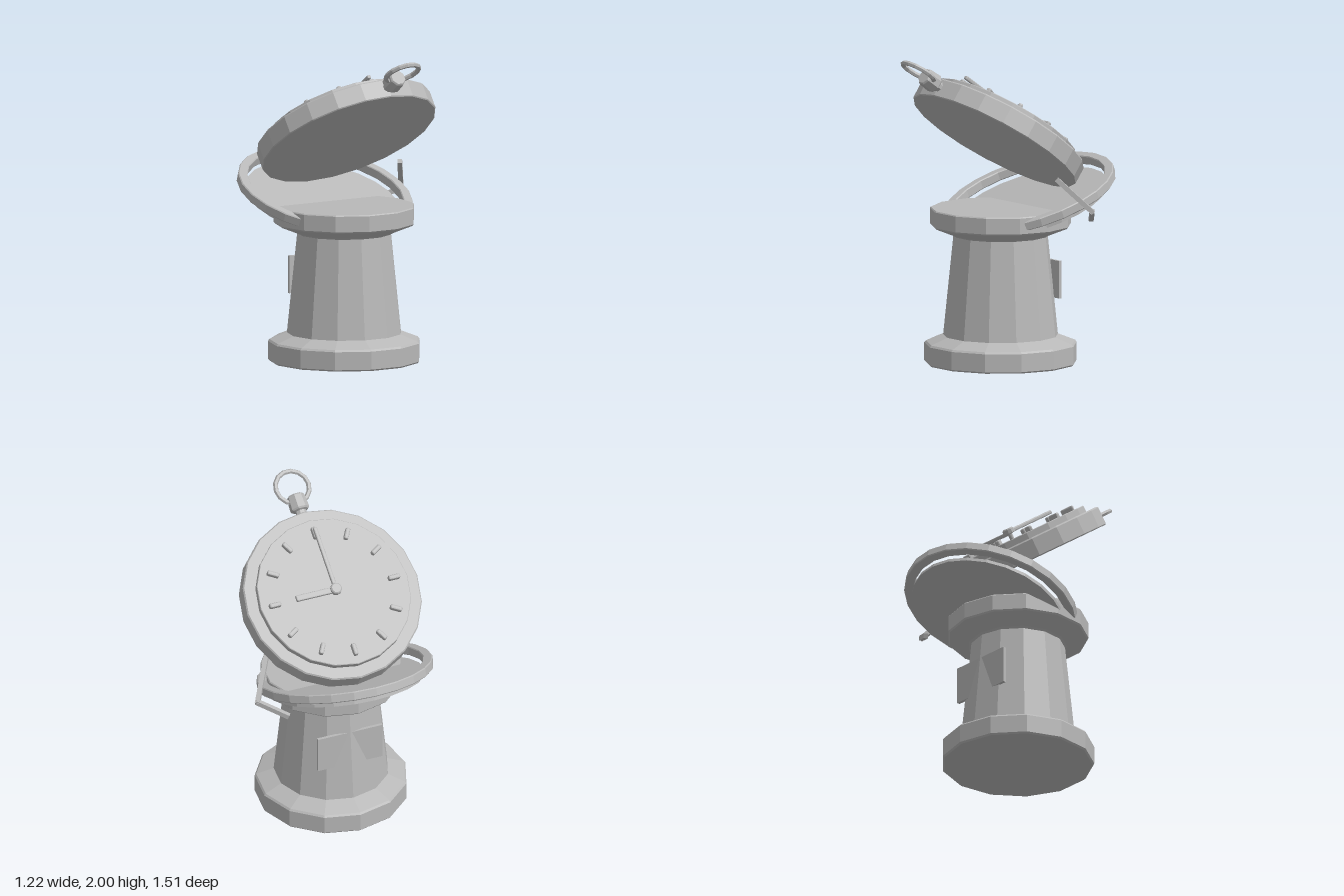
import * as THREE from 'three';
import { RoundedBoxGeometry } from 'three/addons/geometries/RoundedBoxGeometry.js';

export function createModel() {
  const model = new THREE.Group();
  const CX = -0.023; // shared centre line of pedestal, clock and lid
  const stone = new THREE.MeshStandardMaterial({ color: 0xb8b8b8, flatShading: true });
  stone.name = 'plain grey';

  const add = (parent, name, geometry, x = 0, y = 0, z = 0) => {
    const mesh = new THREE.Mesh(geometry, stone);
    mesh.name = name;
    mesh.position.set(x, y, z);
    parent.add(mesh);
    return mesh;
  };
  const lathe = (profile, sides, start = 0) =>
    new THREE.LatheGeometry(profile.map(([r, y]) => new THREE.Vector2(r, y)), sides, start);
  const tilted = (name, y, z, degrees) => {
    const group = new THREE.Group();
    group.name = name;
    group.position.set(CX, y, z);
    group.rotation.x = THREE.MathUtils.degToRad(degrees);
    model.add(group);
    return group;
  };

  // Faceted pedestal with wide foot and flared top
  add(model, 'pedestal', lathe([
    [0, 0], [0.475, 0], [0.485, 0.01], [0.485, 0.125], [0.475, 0.137],
    [0.365, 0.18], [0.3, 0.815], [0.315, 0.825], [0.44, 0.875],
    [0.449, 0.885], [0.449, 0.985], [0.443, 0.992], [0, 0.992],
  ], 13, Math.PI), CX);

  // Plate set into the back of the column
  add(model, 'backPlate', new THREE.BoxGeometry(0.44, 0.24, 0.02), CX, 0.53, -0.304);

  // Tilted pocket clock: local y is the face normal, local z points to the crown
  const clock = tilted('clock', 1.42, 0.053, -35);
  add(clock, 'clockCase', lathe([
    [0, 0], [0.574, 0], [0.58, 0.006], [0.58, 0.118], [0.572, 0.127], [0, 0.127],
  ], 20));
  const FACE = 0.17;
  add(clock, 'clockFace', lathe([[0.5, 0.12], [0.5, FACE - 0.004], [0.496, FACE], [0, FACE]], 20));

  // Hour marks
  for (let i = 0; i < 12; i++) {
    const a = (i / 12) * Math.PI * 2;
    const mark = add(clock, 'hourMark', new RoundedBoxGeometry(0.03, 0.04, 0.078, 1, 0.009),
      Math.sin(a) * 0.406, FACE + 0.012, Math.cos(a) * 0.406);
    mark.rotation.y = a;
  }

  // Hands and hub
  add(clock, 'minuteHand', new RoundedBoxGeometry(0.027, 0.025, 0.43, 1, 0.007), 0, FACE + 0.052, 0.215);
  add(clock, 'hourHand', new RoundedBoxGeometry(0.27, 0.025, 0.04, 1, 0.007), 0.135, FACE + 0.042, 0);
  add(clock, 'handHub', lathe([[0.015, -0.01], [0.015, 0.035], [0.038, 0.04], [0.038, 0.066], [0.03, 0.074], [0, 0.074]], 10),
    0, FACE, 0);

  // Crown and hanging ring
  const crown = add(clock, 'crown', lathe([
    [0.035, 0], [0.035, 0.045], [0.055, 0.05], [0.063, 0.06], [0.058, 0.145], [0.05, 0.155], [0, 0.155],
  ], 8, Math.PI / 8), 0, 0.067, 0.56);
  crown.rotation.x = Math.PI / 2;
  const ring = add(clock, 'hangingRing', new THREE.TorusGeometry(0.11, 0.016, 6, 14), 0, 0.067, 0.772);
  ring.rotation.x = Math.PI / 2;

  // Open lid: a rim with a thin disc just beneath it
  const lid = tilted('lid', 1.055, -0.223, 20);
  add(lid, 'lidRim', lathe([
    [0.557, -0.03], [0.563, -0.024], [0.563, 0.024], [0.557, 0.03],
    [0.507, 0.03], [0.502, 0.024], [0.502, -0.024], [0.507, -0.03], [0.557, -0.03],
  ], 24));
  add(lid, 'lidDisc', new THREE.CylinderGeometry(0.5, 0.5, 0.022, 24), 0, -0.06, 0);

  // Bent square-bar latch on the left side
  const bend = [[0.46, 1.215, -0.09], [0.59, 1.015, -0.265], [0.43, 0.94, -0.375]]
    .map((p) => new THREE.Vector3(...p));
  for (let i = 0; i < 2; i++) {
    const mid = bend[i].clone().add(bend[i + 1]).multiplyScalar(0.5);
    const length = bend[i].distanceTo(bend[i + 1]) + 0.02;
    const bar = add(model, 'latchBar', new THREE.BoxGeometry(0.03, 0.03, length), mid.x, mid.y, mid.z);
    bar.lookAt(bend[i + 1]);
  }

  return model;
}
